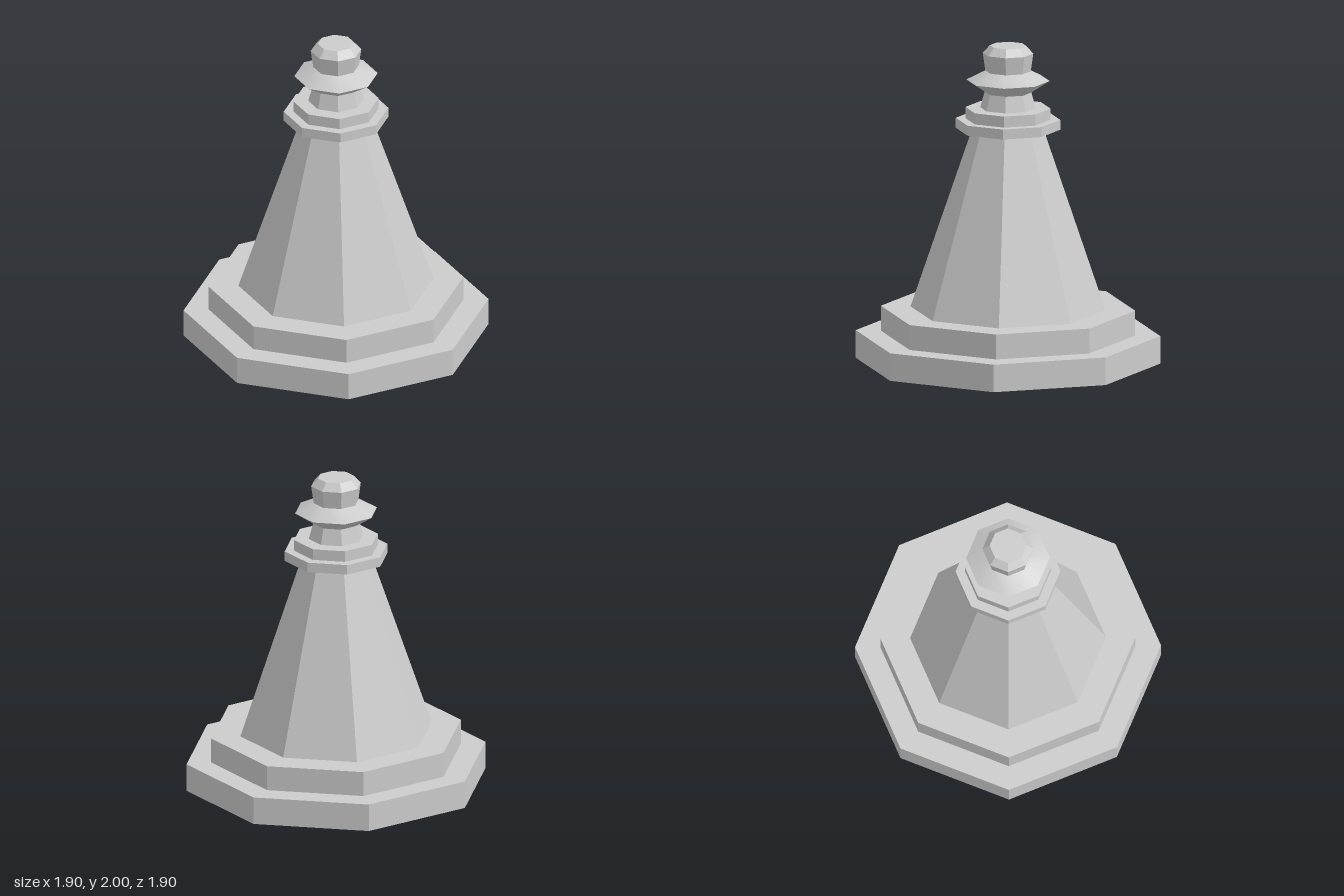
import * as THREE from 'three';
import { toCreasedNormals } from 'three/addons/utils/BufferGeometryUtils.js';

const SIDES = 8;

export function createModel() {
  const group = new THREE.Group();
  const flat = new THREE.MeshStandardMaterial({ color: 0xcccccc, flatShading: true });
  const smooth = new THREE.MeshStandardMaterial({ color: 0xcccccc });

  const add = (name, geometry, material) => {
    const mesh = new THREE.Mesh(geometry, material);
    mesh.name = name;
    group.add(mesh);
    return mesh;
  };

  // Octagonal tiers: name, bottom radius, top radius, bottom y, top y
  const tiers = [
    ['lowerPlinth', 0.95, 0.95, 0, 0.175],
    ['upperPlinth', 0.793, 0.793, 0.175, 0.333],
    ['taperedShaft', 0.608, 0.222, 0.333, 1.472],
    ['lowerCollar', 0.326, 0.326, 1.472, 1.535],
    ['upperCollar', 0.266, 0.266, 1.535, 1.605],
  ];
  for (const [name, bottom, top, y0, y1] of tiers) {
    const tier = add(name, new THREE.CylinderGeometry(top, bottom, y1 - y0, SIDES), flat);
    tier.position.y = (y0 + y1) / 2;
  }

  // Finial: waisted neck, sharp flange and bevelled cap; shallow facets stay smooth
  const profile = [
    [0, 1.605], [0.173, 1.605], [0.146, 1.705], [0.26, 1.78],
    [0.142, 1.84], [0.158, 1.952], [0.114, 2], [0, 2],
  ].map(([r, y]) => new THREE.Vector2(r, y));
  add('finial', toCreasedNormals(new THREE.LatheGeometry(profile, SIDES), Math.PI / 6), smooth);

  return group;
}
